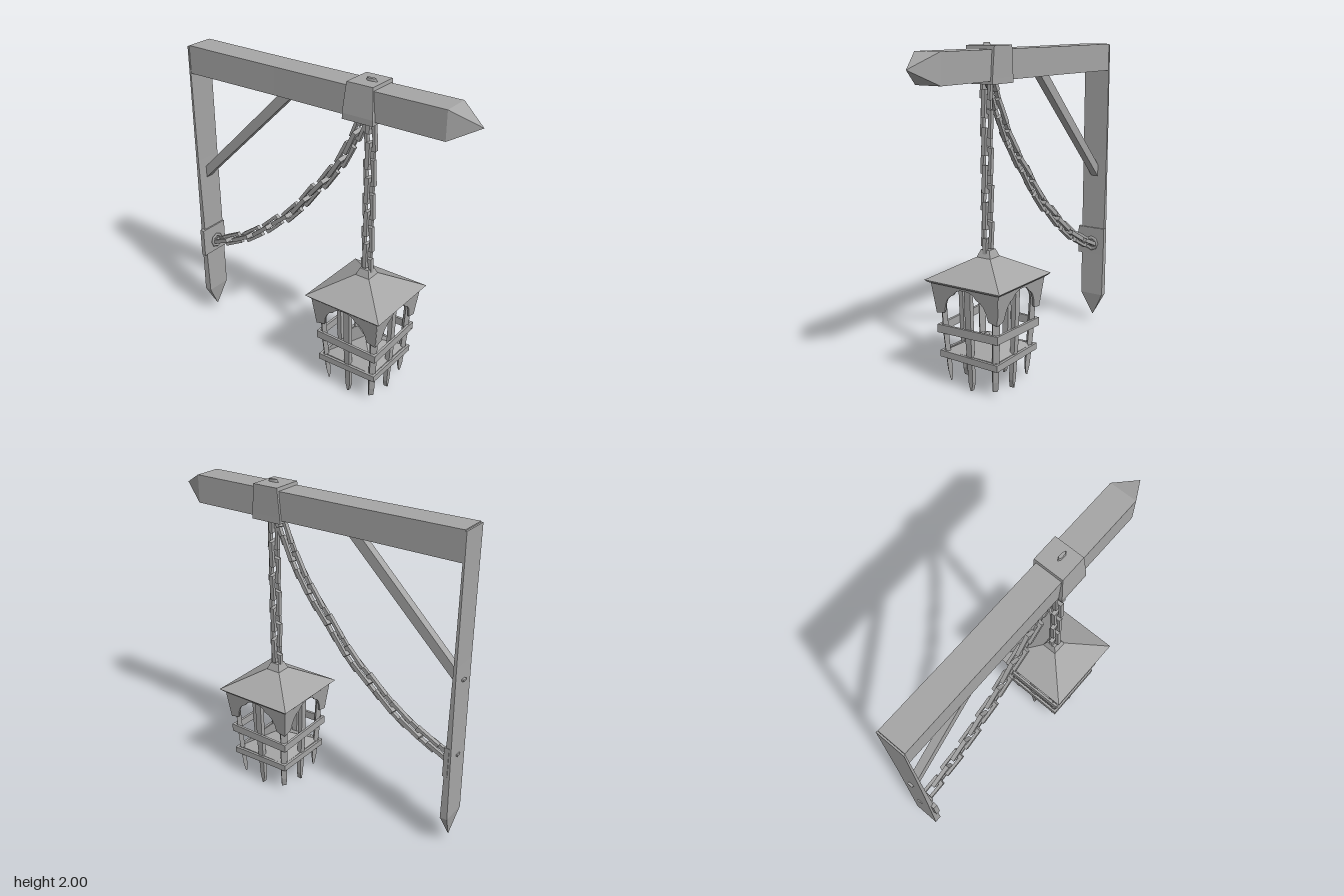
import * as THREE from 'three';

// Flat-faced loft of rectangular sections [y, width, depth, offsetX, offsetZ], bottom to top
function loft(sections) {
  const rings = sections.map(([y, w, d, cx = 0, cz = 0]) =>
    [[-1, -1], [-1, 1], [1, 1], [1, -1]].map(([a, b]) => [cx + a * w / 2, y, cz + b * d / 2]));
  const pos = [];
  const quad = (a, b, c, d) => pos.push(...a, ...b, ...c, ...a, ...c, ...d);
  for (let r = 0; r < rings.length - 1; r++) {
    for (let i = 0; i < 4; i++) {
      const j = (i + 1) % 4, L = rings[r], U = rings[r + 1];
      quad(L[i], L[j], U[j], U[i]);
    }
  }
  const B = rings[0], T = rings[rings.length - 1];
  quad(B[3], B[2], B[1], B[0]);
  quad(...T);
  const g = new THREE.BufferGeometry();
  g.setAttribute('position', new THREE.Float32BufferAttribute(pos, 3));
  g.computeVertexNormals();
  return g;
}

const polygon = pts => new THREE.Shape(pts.map(p => new THREE.Vector2(...p)));

function extrude(shape, depth) {
  const g = new THREE.ExtrudeGeometry(shape, { depth, bevelEnabled: false, curveSegments: 4 });
  return g.translate(0, 0, -depth / 2);
}

export function createModel() {
  const root = new THREE.Group();
  root.name = 'hangingLantern';
  const iron = new THREE.MeshStandardMaterial({ color: 0xa6a6a6 });
  iron.name = 'plain grey';

  const add = (parent, name, geometry, x = 0, y = 0, z = 0) => {
    const m = new THREE.Mesh(geometry, iron);
    m.name = name;
    m.position.set(x, y, z);
    parent.add(m);
    return m;
  };
  const group = (parent, name, x = 0, y = 0, z = 0) => {
    const g = new THREE.Group();
    g.name = name;
    g.position.set(x, y, z);
    parent.add(g);
    return g;
  };

  // Beam with a pointed front end
  const beam = loft([[-0.955, 0.175, 0.175], [-0.3, 0.17, 0.17], [0.82, 0.17, 0.172], [0.985, 0, 0]]);
  add(root, 'beam', beam.rotateX(Math.PI / 2), 0, 1.878, 0);

  // Thin wall post with a pointed foot
  add(root, 'wallPost', loft([
    [0.05, 0, 0], [0.21, 0.165, 0.046], [0.6, 0.172, 0.034], [1.2, 0.178, 0.018], [1.96, 0.182, 0.01],
  ]), 0, 0, -0.961);

  // Diagonal brace
  add(root, 'brace', extrude(polygon([[0.2, 1.8], [0.955, 1.06], [0.955, 1.14], [0.29, 1.8]]), 0.05)
    .rotateY(Math.PI / 2));

  // Collar around the beam and its peg
  add(root, 'collar', loft([[1.775, 0.205, 0.2, -0.005], [1.81, 0.205, 0.2, -0.005], [1.985, 0.19, 0.17, 0.005]]), 0, 0, 0.293);
  add(root, 'collarPeg', new THREE.CylinderGeometry(0.03, 0.038, 0.02, 6).scale(0.35, 1, 1), 0, 1.99, 0.31);

  // Wall plate, ring and nail heads
  add(root, 'wallPlate', new THREE.BoxGeometry(0.2, 0.19, 0.03), -0.01, 0.6, -0.95);
  add(root, 'wallRing', new THREE.TorusGeometry(0.04, 0.012, 4, 8), 0, 0.585, -0.925);
  for (const y of [0.62, 1.1]) {
    add(root, 'nail', new THREE.BoxGeometry(0.035, 0.012, 0.02), 0, y, -0.975);
  }

  // Chain link: a slightly skewed rectangular frame along y
  const linkShape = polygon([[-0.04, -0.075], [0.032, -0.085], [0.04, 0.075], [-0.032, 0.085]]);
  linkShape.holes.push(new THREE.Path(
    [[-0.02, -0.05], [-0.014, 0.058], [0.02, 0.05], [0.014, -0.058]].map(p => new THREE.Vector2(...p))));
  const linkGeo = extrude(linkShape, 0.026);
  const addLink = (chain, point, tangent, wide) => {
    const link = group(chain, 'link', point.x, point.y, point.z);
    link.rotation.x = Math.atan2(tangent.z, tangent.y);
    add(link, 'linkFrame', linkGeo).rotation.y = wide ? Math.PI / 2 : 0;
  };

  // Straight chain carrying the lantern
  const hangingChain = group(root, 'hangingChain');
  for (let i = 0; i < 10; i++) {
    addLink(hangingChain, new THREE.Vector3(0, 1.767 - 0.107 * i, 0.315), new THREE.Vector3(0, 1, 0), i % 2 === 1);
  }

  // Sagging chain to the wall
  const sag = new THREE.CatmullRomCurve3([
    [0.285, 1.8], [0.155, 1.53], [0.04, 1.355], [-0.1, 1.19], [-0.24, 1.025],
    [-0.4, 0.89], [-0.565, 0.76], [-0.75, 0.655], [-0.87, 0.605],
  ].map(([z, y]) => new THREE.Vector3(0, y, z)));
  const saggingChain = group(root, 'saggingChain');
  for (let i = 0; i <= 16; i++) {
    addLink(saggingChain, sag.getPointAt(i / 16), sag.getTangentAt(i / 16), i % 2 === 1);
  }

  // Lantern roof
  const lantern = group(root, 'lantern', 0, 0, 0.312);
  add(lantern, 'roof', loft([[0.64, 0.5, 0.5], [0.655, 0.53, 0.53], [0.775, 0.1, 0.1]]));
  add(lantern, 'roofCap', loft([[0.77, 0.1, 0.1], [0.82, 0.06, 0.06]]));

  // Raised floor
  add(lantern, 'floor', loft([[0.19, 0.37, 0.37], [0.215, 0.37, 0.37], [0.315, 0, 0]]));

  // Scalloped valance panel, mirrored about its middle
  const valance = new THREE.Shape();
  valance.moveTo(-0.238, 0);
  valance.lineTo(-0.215, -0.195);
  valance.lineTo(-0.155, -0.18);
  valance.quadraticCurveTo(-0.14, -0.075, -0.08, -0.06);
  valance.quadraticCurveTo(-0.06, -0.02, 0, -0.02);
  valance.quadraticCurveTo(0.06, -0.02, 0.08, -0.06);
  valance.quadraticCurveTo(0.14, -0.075, 0.155, -0.18);
  valance.lineTo(0.215, -0.195);
  valance.lineTo(0.238, 0);
  const valanceGeo = extrude(valance, 0.012);

  // Pointed bars, leaning in towards the bottom
  const barGeo = loft([[0, 0.008, 0.028, 0, -0.018], [0.05, 0.03, 0.028, 0, -0.016], [0.3, 0.04, 0.03], [0.65, 0.042, 0.03, 0, 0.01]]);
  const cornerGeo = loft([[0.03, 0.03, 0.008, 0, -0.025], [0.09, 0.034, 0.026, 0, -0.02], [0.3, 0.04, 0.03], [0.65, 0.045, 0.03, 0, 0.02]]);

  // Four matching sides
  for (let i = 0; i < 4; i++) {
    const side = group(lantern, 'lanternSide');
    side.rotation.y = i * Math.PI / 2;
    add(side, 'valance', valanceGeo, 0, 0.645, 0.234).rotation.x = 0.12;
    add(side, 'middleBar', barGeo, 0, 0, 0.185);
    add(side, 'cornerBar', cornerGeo, 0.178, 0, 0.178).rotation.y = Math.PI / 4;
    const tilt = i % 2 ? -0.02 : 0.02;
    add(side, 'upperRail', new THREE.BoxGeometry(0.43, 0.05, 0.016), 0, 0.36, 0.207).rotation.z = tilt;
    add(side, 'lowerRail', new THREE.BoxGeometry(0.41, 0.04, 0.016), 0, 0.195, 0.197).rotation.z = -tilt;
  }

  return root;
}
